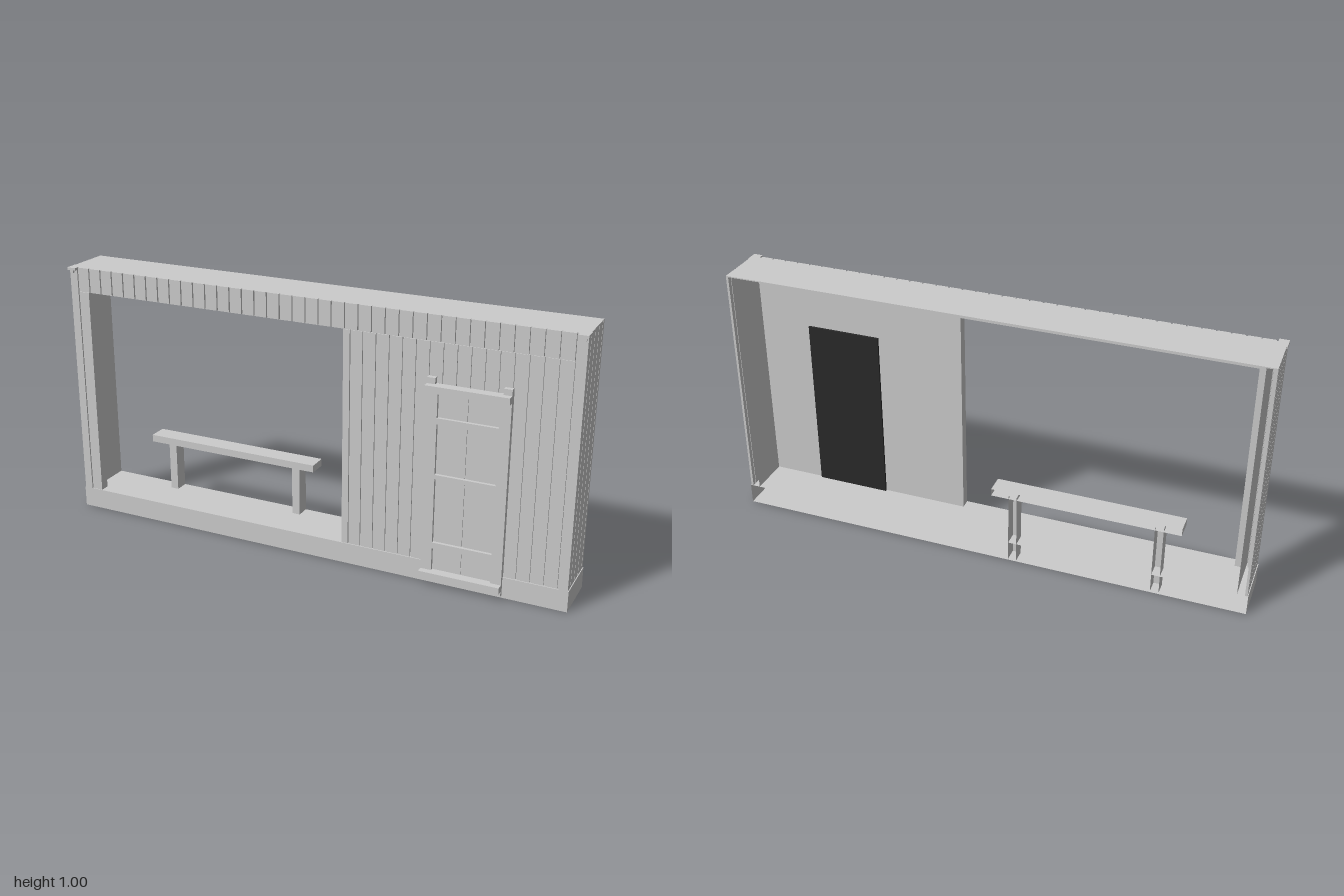
import * as THREE from 'three';

const grey = new THREE.MeshStandardMaterial({ color: 0xcccccc, side: THREE.DoubleSide });
grey.name = 'light grey';
const black = new THREE.MeshStandardMaterial({ color: 0x2a2a2a });
black.name = 'near black';

const BACK = -0.118, FRONT = 0.08, HEIGHT = 0.995, BASE = 0.08;

export function createModel() {
  const model = new THREE.Group();
  model.name = 'shelterFacade';

  // Box from its limits; openBack drops the rear face to leave a hollow shell
  function box(name, [x0, x1], [y0, y1], [z0, z1], { openBack = false, material = grey, parent = model } = {}) {
    const geometry = new THREE.BoxGeometry(x1 - x0, y1 - y0, z1 - z0);
    if (openBack) {
      geometry.setIndex(Array.from(geometry.index.array).slice(0, 30));
      geometry.clearGroups();
    }
    const mesh = new THREE.Mesh(geometry, material);
    mesh.name = name;
    mesh.position.set((x0 + x1) / 2, (y0 + y1) / 2, (z0 + z1) / 2);
    parent.add(mesh);
    return mesh;
  }
  function group(name) {
    const g = new THREE.Group();
    g.name = name;
    model.add(g);
    return g;
  }

  // Hollow plinth and thin roof
  box('base', [-1, 1], [0, BASE], [BACK, FRONT], { openBack: true });
  box('roof', [-0.995, 0.995], [HEIGHT - 0.004, HEIGHT], [BACK, 0.072]);

  // Front wall with the large opening
  const outline = new THREE.Shape([[-0.96, BASE], [-0.92, BASE], [-0.92, 0.9], [0.15, 0.9], [0.15, BASE],
    [0.96, BASE], [0.96, 0.991], [-0.96, 0.991]].map(([x, y]) => new THREE.Vector2(x, y)));
  const wall = new THREE.Mesh(new THREE.ExtrudeGeometry(outline, { depth: 0.03, bevelEnabled: false }), grey);
  wall.name = 'frontWall';
  wall.position.z = 0.04;
  model.add(wall);

  // Upright boards, with narrow grooves between them
  const siding = group('frontSiding');
  box('openingTrim', [0.145, 0.17], [BASE, 0.9], [0.04, 0.077], { parent: siding });
  box('openingTrim', [-0.962, -0.92], [BASE, 0.9], [0.07, 0.077], { parent: siding });
  for (let i = 0; i < 16; i++) {
    const x = 0.173 + i * 0.0494;
    box('wallBoard', [x, x + 0.0445], [BASE, 0.9], [0.07, 0.076], { parent: siding });
  }
  const fascia = group('fascia');
  for (let i = 0; i < 38; i++) {
    const x = -0.96 + i * 0.0506;
    box('fasciaBoard', [x, x + 0.0456], [0.902, HEIGHT], [0.07, 0.079], { parent: fascia });
  }

  // Hollow end walls clad in boards, with corner brackets
  for (const side of [-1, 1]) {
    const end = group(side > 0 ? 'leftEnd' : 'rightEnd');
    const span = (a, b) => side > 0 ? [a, b] : [-b, -a];
    box('endWall', span(0.96, 0.99), [BASE, HEIGHT - 0.004], [BACK, 0.074], { openBack: true, parent: end });
    box('cornerBoard', span(0.965, 0.997), [BASE, HEIGHT], [0.048, FRONT], { parent: end });
    for (const [z0, z1] of [[0.002, 0.044], [-0.048, -0.002], [-0.098, -0.052], [BACK, -0.102]])
      box('endBoard', span(0.988, 0.997), [BASE, HEIGHT], [z0, z1], { parent: end });
    box('bracketTop', span(0.965, 1), [0.985, 0.995], [0.045, 0.092], { parent: end });
    box('bracketDrop', span(0.978, 0.992), [0.974, 0.986], [0.06, 0.088], { parent: end });
  }

  // Barn style door: planks, stiles, rungs and raised rails
  const door = group('door');
  const part = (name, x, y, z) => box(name, x, y, z, { parent: door });
  part('doorPlank', [0.5, 0.611], [0.03, 0.74], [0.07, 0.082]);
  part('doorPlank', [0.617, 0.73], [0.03, 0.74], [0.07, 0.082]);
  part('doorBacking', [0.5, 0.73], [0.03, 0.74], [0.068, 0.078]);
  for (const [x0, x1, k0, k1] of [[0.465, 0.505, 0.465, 0.495], [0.725, 0.765, 0.735, 0.765]]) {
    part('doorStile', [x0, x1], [0.01, 0.757], [0.072, 0.094]);
    part('stileTip', [k0, k1], [0.757, 0.779], [0.072, 0.094]);
  }
  for (const [y0, y1] of [[0.613, 0.636], [0.41, 0.426], [0.142, 0.165], [0.012, 0.03]])
    part('doorRung', [0.505, 0.725], [y0, y1], [0.075, 0.094]);
  for (const [y0, y1] of [[0.731, 0.757], [0.03, 0.055]])
    part('doorRail', [0.465, 0.765], [y0, y1], [0.08, 0.118]);
  box('doorBackPanel', [0.475, 0.76], [BASE, 0.76], [0.032, 0.042], { material: black, parent: door });

  // Hollow bench, cut off at the back plane
  const bench = group('bench');
  box('seat', [-0.745, -0.03], [0.278, 0.306], [BACK, -0.045], { openBack: true, parent: bench });
  for (const x of [-0.68, -0.13])
    box('benchLeg', [x, x + 0.032], [0.004, 0.29], [BACK, -0.065], { openBack: true, parent: bench });

  return model;
}
